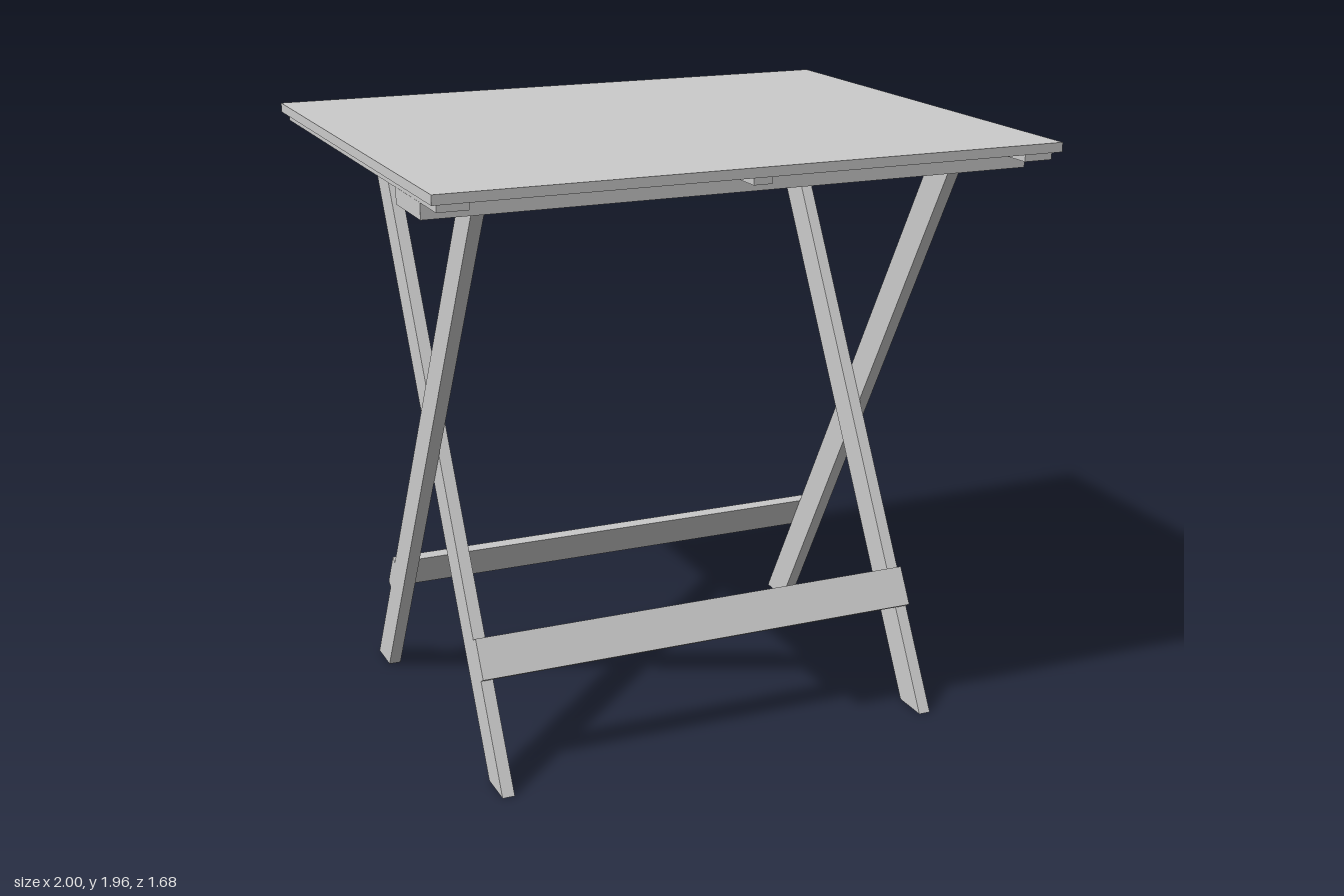
import * as THREE from 'three';

const material = new THREE.MeshStandardMaterial({ color: 0xcccccc });
const LEAN = Math.PI / 6; // legs lean 30 degrees from vertical
const SLOPE = Math.tan(LEAN);

function addBox(parent, name, [w, h, d], [x, y, z]) {
  const mesh = new THREE.Mesh(new THREE.BoxGeometry(w, h, d), material);
  mesh.name = name;
  mesh.position.set(x, y, z);
  parent.add(mesh);
  return mesh;
}

// Slanted leg with level ends: a box sheared along z as it rises
function addLeg(parent, name, x, height) {
  const footBack = 0.485, footFront = 0.612;
  const geo = new THREE.BoxGeometry(0.04, height, footFront - footBack);
  geo.translate(0, height / 2, (footFront + footBack) / 2);
  const pos = geo.attributes.position;
  for (let i = 0; i < pos.count; i++) pos.setZ(i, pos.getZ(i) - pos.getY(i) * SLOPE);
  const flat = geo.toNonIndexed();
  flat.computeVertexNormals();
  const mesh = new THREE.Mesh(flat, material);
  mesh.name = name;
  mesh.position.x = x;
  parent.add(mesh);
}

// Two parallel legs joined by a rail lying on their outer faces
function makeFrame(name, legX, height, railLength) {
  const frame = new THREE.Group();
  frame.name = name;
  addLeg(frame, 'leftLeg', legX, height);
  addLeg(frame, 'rightLeg', -legX, height);

  const thickness = 0.026, y = 0.375;
  const off = thickness / 2;
  const rail = addBox(frame, 'rail', [railLength, 0.132, thickness],
    [0, y + off * Math.sin(LEAN), 0.612 - y * SLOPE + off * Math.cos(LEAN)]);
  rail.rotation.x = -LEAN;
  return frame;
}

export function createModel() {
  const table = new THREE.Group();
  table.name = 'foldingTable';

  // Top board with the three battens below it
  addBox(table, 'tabletop', [2, 0.03, 1.68], [0, 1.945, 0]);
  for (const [name, x, w] of [['leftBatten', 0.932, 0.095], ['middleBatten', 0, 0.06], ['rightBatten', -0.932, 0.095]]) {
    addBox(table, name, [w, 0.026, 1.63], [x, 1.917, 0]);
  }

  // Cross bar carrying the outer legs
  addBox(table, 'crossBar', [1.96, 0.05, 0.235], [0, 1.88, 0.552]);

  // Inner legs stand at the front, outer legs at the back
  table.add(makeFrame('innerLegFrame', 0.743, 1.93, 1.526));
  const outer = makeFrame('outerLegFrame', 0.783, 1.855, 1.606);
  outer.rotation.y = Math.PI;
  table.add(outer);

  return table;
}
